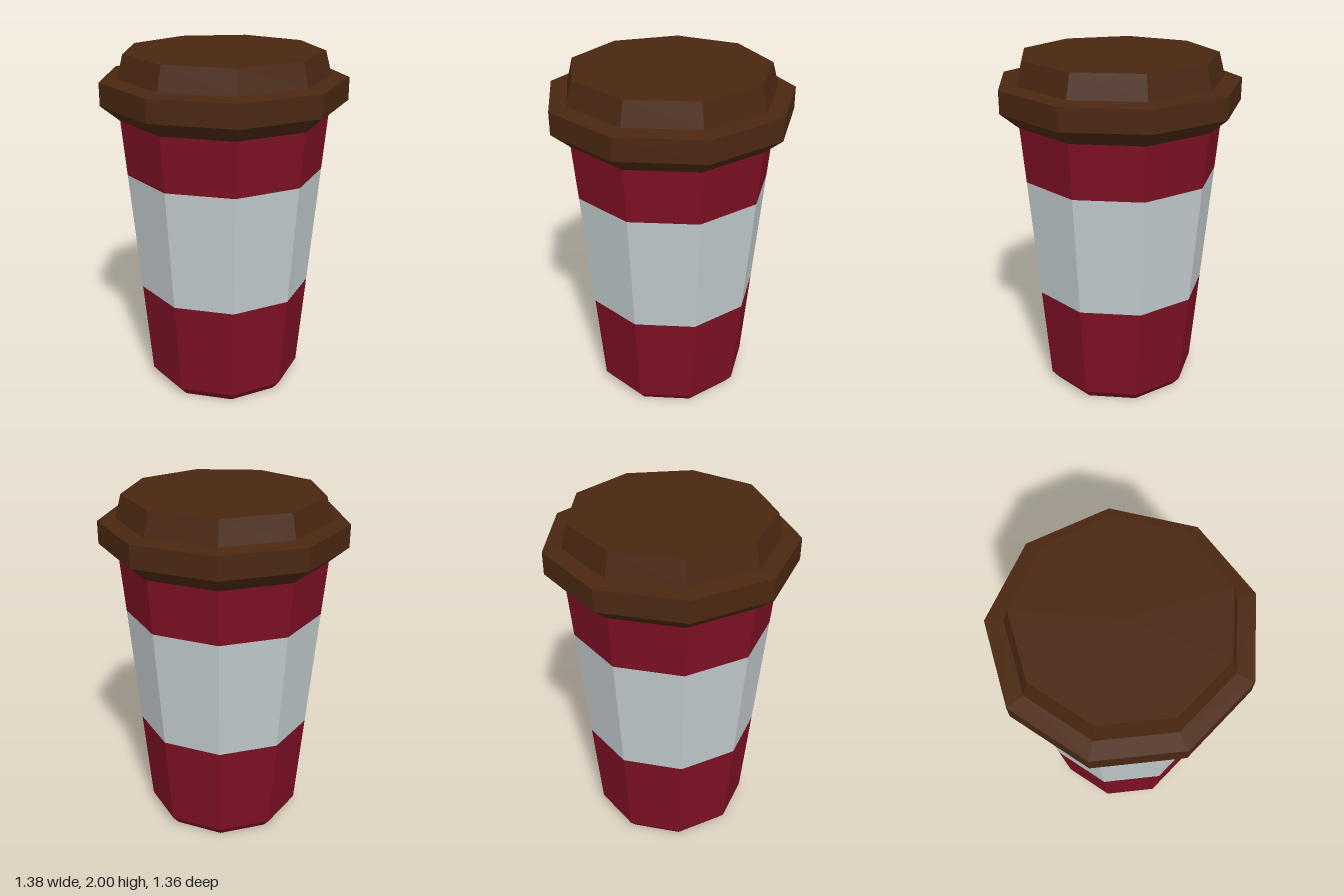
import * as THREE from 'three';

const SIDES = 9;

const material = (name, color) => {
  const m = new THREE.MeshStandardMaterial({ color });
  m.name = name;
  return m;
};

// Faceted nine-sided turning from [radius, height] pairs, one corner at the back
function turned(name, profile, mat) {
  const points = profile.map(([r, y]) => new THREE.Vector2(r, y));
  const geometry = new THREE.LatheGeometry(points, SIDES, Math.PI).toNonIndexed();
  geometry.computeVertexNormals();
  const mesh = new THREE.Mesh(geometry, mat);
  mesh.name = name;
  return mesh;
}

export function createModel() {
  const red = material('deep red', 0x7d1024);
  const grey = material('pale grey', 0xc2cbcd);
  const brown = material('dark brown', 0x4a2711);

  const group = new THREE.Group();
  group.name = 'takeawayCup';

  // Tapered cup with a bevelled foot and a pale band
  const cup = new THREE.Group();
  cup.name = 'cup';
  cup.add(
    turned('cupBase', [[0, 0], [0.41, 0], [0.455, 0.055], [0.504, 0.617]], red),
    turned('cupBand', [[0.504, 0.617], [0.565, 1.322]], grey),
    turned('cupRim', [[0.565, 1.322], [0.593, 1.64]], red),
  );

  // Lid with an overhanging lip and a raised flat top
  const lid = turned('lid', [
    [0.59, 1.635], [0.7, 1.727], [0.7, 1.855],
    [0.6, 1.867], [0.565, 2], [0, 2],
  ], brown);

  group.add(cup, lid);
  // Centre the nonagon's depth, since its flat front is nearer than its back corner
  group.children.forEach((part) => { part.position.z = 0.021; });
  return group;
}
